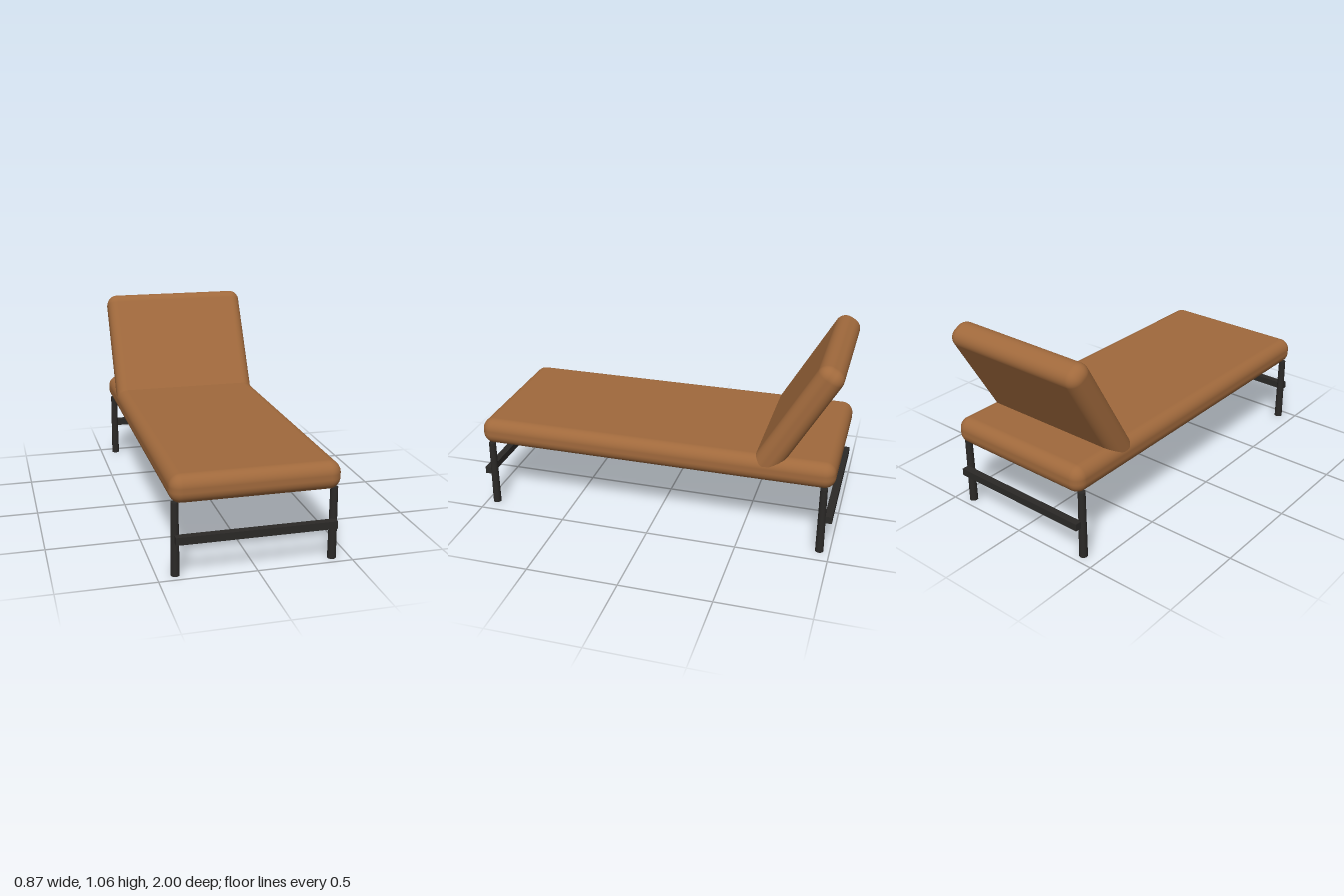
import * as THREE from 'three';
import { RoundedBoxGeometry } from 'three/addons/geometries/RoundedBoxGeometry.js';

const leather = new THREE.MeshStandardMaterial({ color: 0xa0693c });
const metal = new THREE.MeshStandardMaterial({ color: 0x2b2927 });

function addPart(parent, name, geometry, material, x, y, z) {
  const mesh = new THREE.Mesh(geometry, material);
  mesh.name = name;
  mesh.position.set(x, y, z);
  parent.add(mesh);
  return mesh;
}

export function createModel() {
  const lounger = new THREE.Group();
  lounger.name = 'lounger';

  // Long padded seat
  addPart(lounger, 'seatCushion', new RoundedBoxGeometry(0.872, 0.147, 2, 6, 0.062), leather, 0, 0.4525, 0);

  // Reclined back, its lower end sunk into the seat
  const back = addPart(lounger, 'backrest', new RoundedBoxGeometry(0.868, 0.74, 0.145, 6, 0.06), leather, 0, 0.728, -0.774);
  back.rotation.x = -Math.PI / 6;

  // Two legs and an outer crossbar at each end
  const legGeometry = new THREE.CylinderGeometry(0.0195, 0.0225, 0.385, 16);
  const barGeometry = new THREE.BoxGeometry(0.826, 0.04, 0.04);
  for (const [end, sz] of [['front', 1], ['back', -1]]) {
    for (const [side, sx] of [['Left', 1], ['Right', -1]]) {
      addPart(lounger, `${end}${side}Leg`, legGeometry, metal, sx * 0.407, 0.1925, sz * 0.945);
    }
    addPart(lounger, `${end}Crossbar`, barGeometry, metal, 0, 0.2, sz * 0.98);
  }

  return lounger;
}
